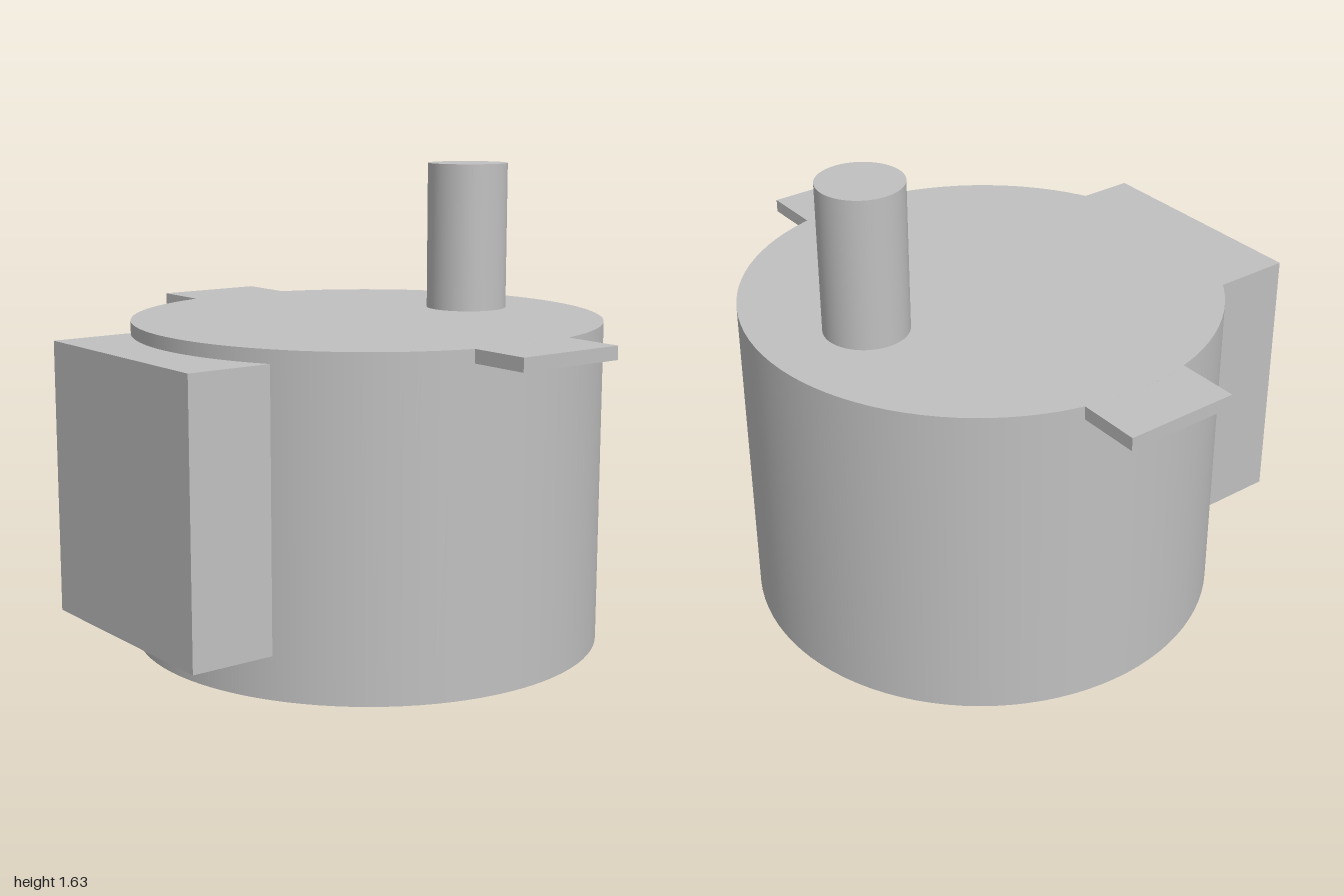
import * as THREE from 'three';

const CX = 0.088;      // axis of the round housing
const R = 0.81;        // housing radius
const TOP = 1.115;     // housing height
const TAB_W = 0.197;   // half width of a mounting tab
const TAB_T = 0.045;   // tab thickness

export function createModel() {
  const group = new THREE.Group();
  const grey = new THREE.MeshStandardMaterial({ color: 0xc0c0c0 });
  grey.name = 'light grey';

  const add = (name, geometry, x, y, z) => {
    const mesh = new THREE.Mesh(geometry, grey);
    mesh.name = name;
    mesh.position.set(x, y, z);
    group.add(mesh);
    return mesh;
  };

  // Round housing
  add('housing', new THREE.CylinderGeometry(R, R, TOP, 96), CX, TOP / 2, 0);

  // Off-centre output shaft
  const shaftLength = 1.63 - TOP;
  add('shaft', new THREE.CylinderGeometry(0.142, 0.142, shaftLength, 48, 1),
    0.543, TOP + shaftLength / 2, 0);

  // Connector block, sunk into the side of the housing
  add('connectorBlock', new THREE.BoxGeometry(0.3, 0.925, 0.83), -0.75, 0.6075, 0);

  // Mounting tabs, with an inner edge that follows the housing
  const angle = Math.asin(TAB_W / R);
  const shape = new THREE.Shape();
  shape.moveTo(TAB_W, 1);
  shape.lineTo(-TAB_W, 1);
  shape.lineTo(-TAB_W, R * Math.cos(angle));
  shape.absarc(0, 0, R, Math.PI / 2 + angle, Math.PI / 2 - angle, true);
  shape.closePath();
  const tab = new THREE.ExtrudeGeometry(shape, { depth: TAB_T, bevelEnabled: false, curveSegments: 12 });
  tab.rotateX(-Math.PI / 2);
  add('backTab', tab, CX, TOP - TAB_T, 0);
  add('frontTab', tab, CX, TOP - TAB_T, 0).rotation.y = Math.PI;

  return group;
}
